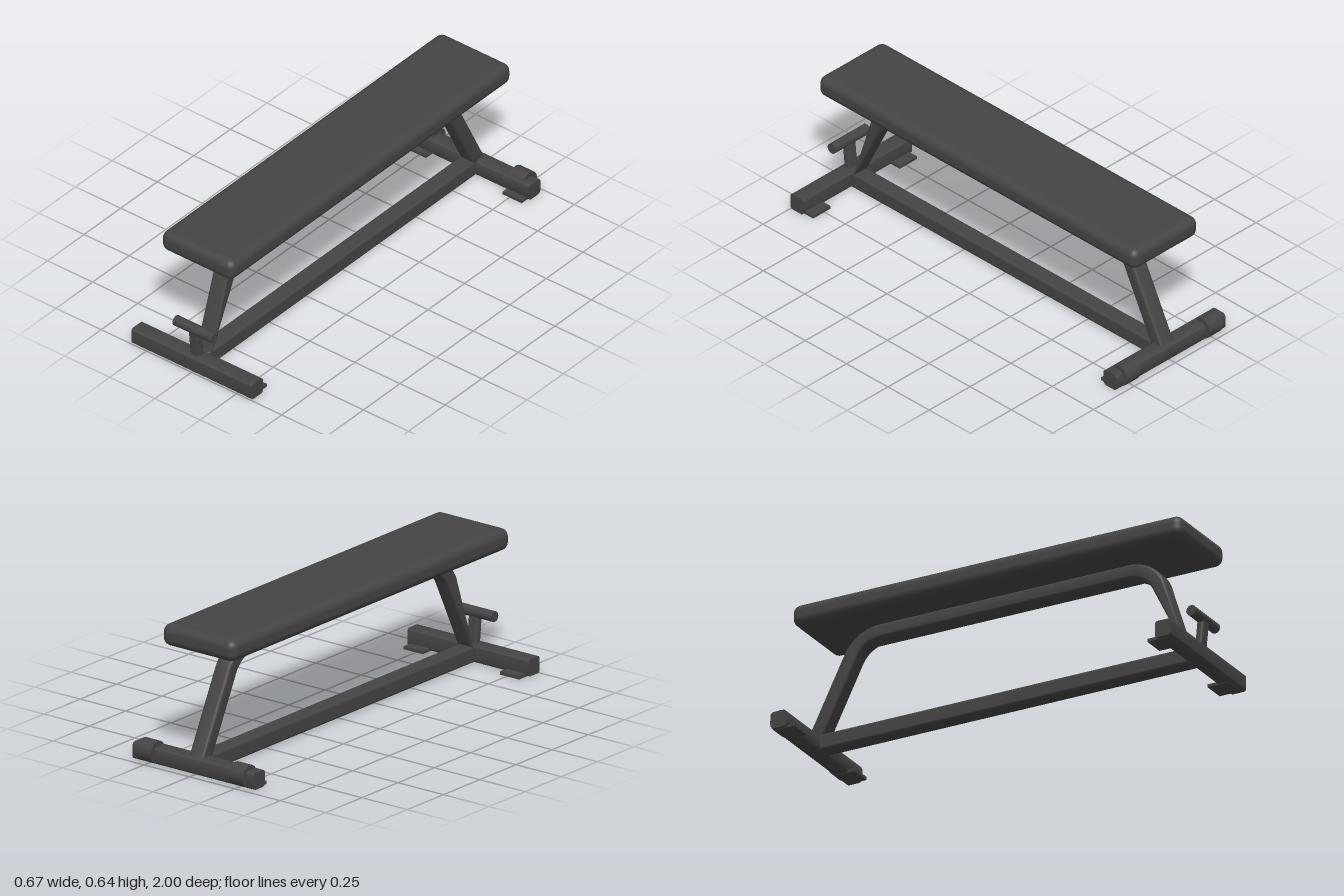
import * as THREE from 'three';
import { toCreasedNormals } from 'three/addons/utils/BufferGeometryUtils.js';
import { RoundedBoxGeometry } from 'three/addons/geometries/RoundedBoxGeometry.js';

const charcoal = new THREE.MeshStandardMaterial({ color: 0x444444 });
charcoal.name = 'charcoal';

export function createModel() {
  const model = new THREE.Group();
  model.name = 'flatBench';

  function add(name, geometry, x = 0, y = 0, z = 0) {
    const mesh = new THREE.Mesh(geometry, charcoal);
    mesh.name = name;
    mesh.position.set(x, y, z);
    model.add(mesh);
    return mesh;
  }

  // Extrudes a (z, y) side profile along x, centred on x = 0
  function sideExtrude(shape, width, bevel = 0) {
    const geometry = new THREE.ExtrudeGeometry(shape, {
      depth: width - 2 * bevel, bevelEnabled: bevel > 0, bevelSize: bevel,
      bevelThickness: bevel, bevelOffset: -bevel, bevelSegments: 3, curveSegments: 10,
    });
    geometry.translate(0, 0, bevel - width / 2);
    geometry.rotateY(-Math.PI / 2);
    return toCreasedNormals(geometry, 0.7);
  }

  function roundedRect(w, h, r) {
    const s = new THREE.Shape();
    const x = w / 2, y = h / 2, q = Math.PI / 2;
    s.absarc(x - r, y - r, r, 0, q);
    s.absarc(-x + r, y - r, r, q, 2 * q);
    s.absarc(-x + r, -y + r, r, 2 * q, 3 * q);
    s.absarc(x - r, -y + r, r, 3 * q, 4 * q);
    s.closePath();
    return s;
  }

  // Padded seat
  add('seatPad', new RoundedBoxGeometry(0.4, 0.1, 1.922, 5, 0.038), 0, 0.591, 0.011);

  // Bent upper frame: two sloping legs joined by a level rail
  const half = 0.0325, bendR = 0.162, bendZ = 0.615, bendY = 0.343, tilt = Math.atan(0.5);
  const legLength = 0.41;
  const legEnd = (r, side) => [
    side * (bendZ + r * Math.cos(tilt) + legLength * Math.sin(tilt)),
    bendY + r * Math.sin(tilt) - legLength * Math.cos(tilt),
  ];
  const outer = bendR + half, inner = bendR - half;
  const frame = new THREE.Shape();
  frame.moveTo(...legEnd(outer, 1));
  frame.absarc(bendZ, bendY, outer, tilt, Math.PI / 2, false);
  frame.absarc(-bendZ, bendY, outer, Math.PI / 2, Math.PI - tilt, false);
  frame.lineTo(...legEnd(outer, -1));
  frame.lineTo(...legEnd(inner, -1));
  frame.absarc(-bendZ, bendY, inner, Math.PI - tilt, Math.PI / 2, true);
  frame.absarc(bendZ, bendY, inner, Math.PI / 2, tilt, true);
  frame.lineTo(...legEnd(inner, 1));
  frame.closePath();
  add('upperFrame', sideExtrude(frame, 0.08, 0.012), 0, 0, 0.01);

  // Floor beam and the two crossbars
  add('floorBeam', new RoundedBoxGeometry(0.08, 0.075, 1.84, 3, 0.013), 0, 0.0425, 0.01);
  add('frontCrossbar', sideExtrude(roundedRect(0.076, 0.078, 0.012), 0.666), 0, 0.041, 0.961);
  add('backCrossbar', sideExtrude(roundedRect(0.08, 0.078, 0.018), 0.666), 0, 0.041, -0.935);

  for (const side of [1, -1]) {
    // Foot plates projecting inward beneath the crossbars
    add('frontFoot', new THREE.BoxGeometry(0.106, 0.014, 0.105), side * 0.265, 0.007, 0.929);
    add('backFoot', new THREE.BoxGeometry(0.106, 0.014, 0.09), side * 0.265, 0.007, -0.91);

    // Transport wheels
    const wheel = new THREE.CylinderGeometry(0.05, 0.05, 0.08, 16);
    wheel.rotateZ(Math.PI / 2);
    add('wheel', wheel, side * 0.253, 0.053, -0.95);
  }

  // Lifting handle on a short post
  const post = add('handlePost', new RoundedBoxGeometry(0.054, 0.15, 0.036, 3, 0.012), 0, 0.14, 0.968);
  post.rotation.x = 0.1;
  const grip = new THREE.CylinderGeometry(0.024, 0.024, 0.214, 20);
  grip.rotateZ(Math.PI / 2);
  add('handleGrip', grip, 0, 0.214, 0.974);

  return model;
}
